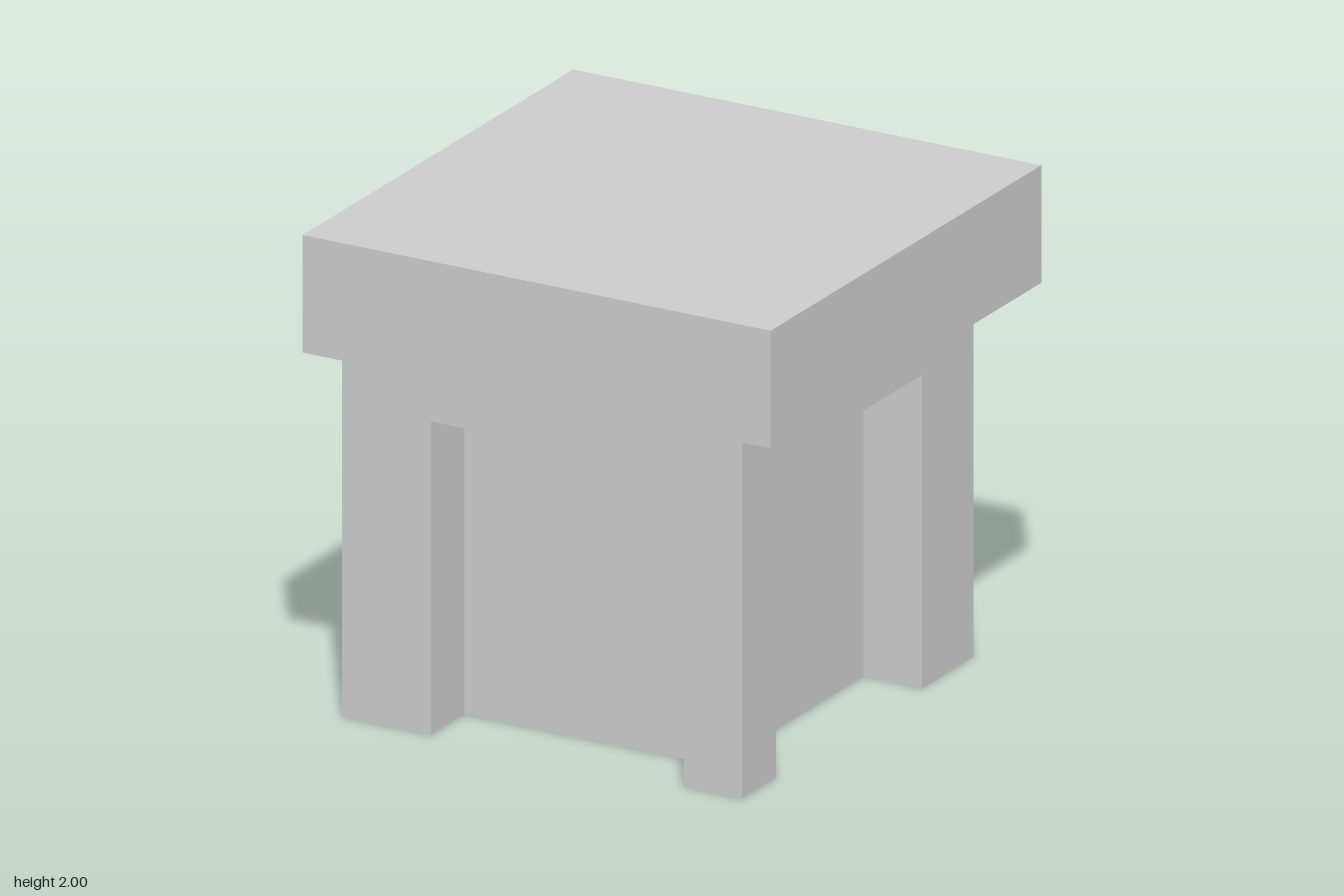
import * as THREE from 'three';

const WALL = 0.71;      // outer face of the body on +x and +z
const INNER = 0.46;     // back wall of the recesses, inner edge of the corner post
const FAR = -0.62;      // far edge of each recess
const RECESS_TOP = 1.24;
const BODY_TOP = 1.535;

const material = new THREE.MeshStandardMaterial({ color: 0xcccccc, flatShading: true });

// Upright prism from an [x, z] footprint between two heights
function prism(name, footprint, y0, y1) {
  const shape = new THREE.Shape(footprint.map(([x, z]) => new THREE.Vector2(x, -z)));
  const geometry = new THREE.ExtrudeGeometry(shape, { depth: y1 - y0, bevelEnabled: false });
  geometry.rotateX(-Math.PI / 2).translate(0, y0, 0);
  const mesh = new THREE.Mesh(geometry, material);
  mesh.name = name;
  return mesh;
}

// Square footprint from a to b on both axes
const square = (a, b) => [[a, a], [a, b], [b, b], [b, a]];

export function createModel() {
  const model = new THREE.Group();
  model.name = 'cornerBlock';
  model.add(
    // Solid core with a pilaster at the end of each recessed side
    prism('recessedBody', [
      [-1, -1], [-1, WALL], [FAR, WALL], [FAR, INNER],
      [INNER, INNER], [INNER, FAR], [WALL, FAR], [WALL, -1],
    ], 0, RECESS_TOP),
    // Free corner post between the two recesses
    prism('cornerPost', square(INNER, WALL), 0, RECESS_TOP),
    // Lintel band over the recesses
    prism('lintel', square(-1, WALL), RECESS_TOP, BODY_TOP),
    // Overhanging top slab
    prism('topSlab', square(-1, 1), BODY_TOP, 2),
  );
  return model;
}
